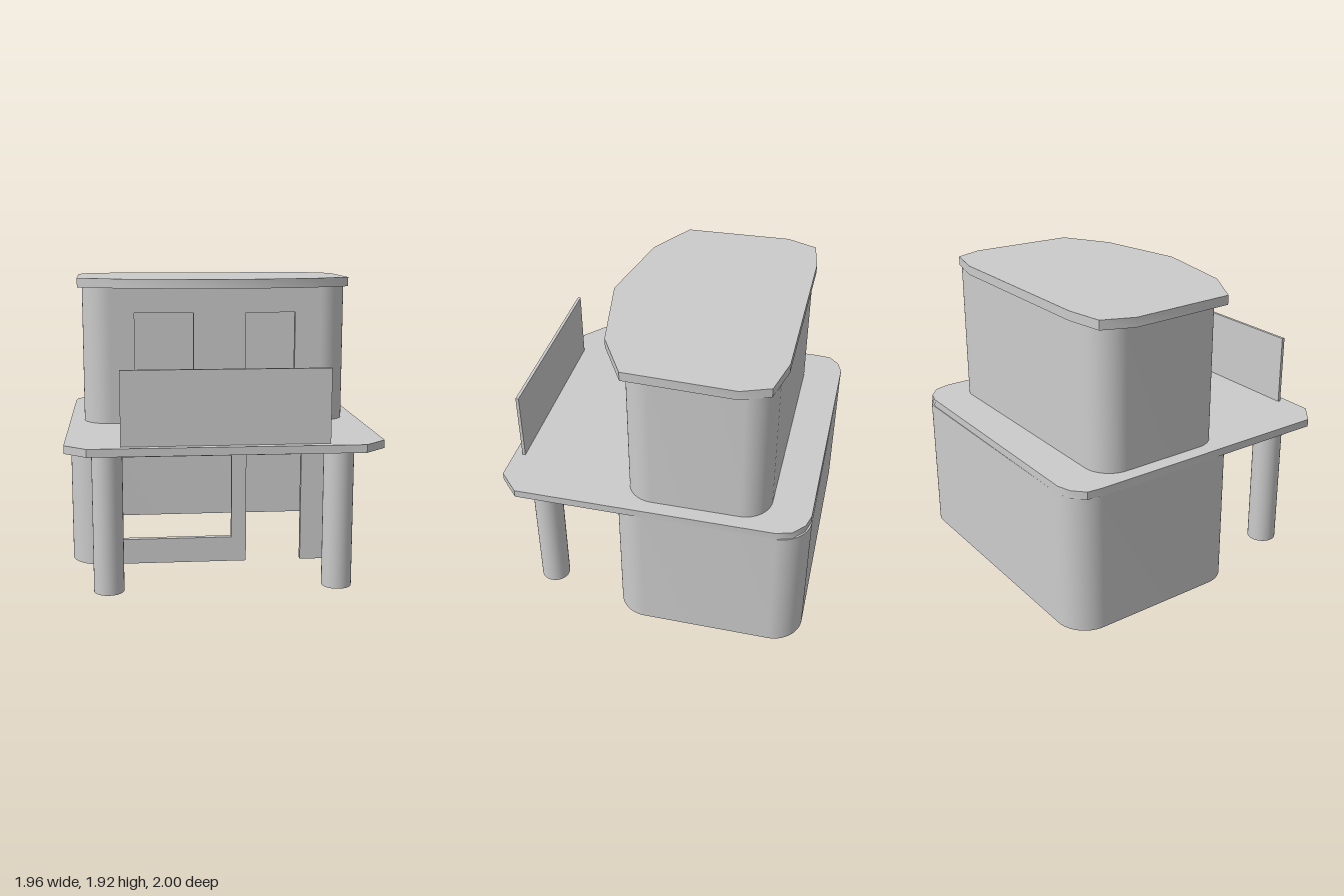
import * as THREE from 'three';
import { toCreasedNormals } from 'three/addons/utils/BufferGeometryUtils.js';

const material = new THREE.MeshStandardMaterial({ color: 0xcccccc, side: THREE.DoubleSide });
const WALL = 0.04;

function addMesh(parent, name, geometry, x = 0, y = 0, z = 0) {
  const mesh = new THREE.Mesh(geometry, material);
  mesh.name = name;
  mesh.position.set(x, y, z);
  parent.add(mesh);
  return mesh;
}

function extrude(shape, depth) {
  const geometry = new THREE.ExtrudeGeometry(shape, { depth, bevelEnabled: false, curveSegments: 10 });
  return toCreasedNormals(geometry, 0.6);
}

// Extrudes a floor plan upwards; plan coordinates are (x, -z)
function extrudePlan(shape, height) {
  return extrude(shape, height).rotateX(-Math.PI / 2);
}

function slab(points, height) {
  return extrudePlan(new THREE.Shape(points.map(([x, z]) => new THREE.Vector2(x, -z))), height);
}

function rectangle([x0, y0, x1, y1]) {
  return new THREE.Path([[x0, y0], [x0, y1], [x1, y1], [x1, y0]].map(p => new THREE.Vector2(...p)));
}

// Hollow storey with round corners: side and back shell plus a pierced front wall
function storey(name, { halfWidth, front, back, radius, base, height, windows, door }) {
  const group = new THREE.Group();
  group.name = name;
  const a = halfWidth - radius, f = -front + radius, b = -back - radius, q = Math.PI / 2;

  const plan = new THREE.Shape();
  const corners = [[a, f], [a, b], [-a, b], [-a, f]];
  plan.moveTo(a, -front);
  corners.forEach(([x, y], i) => plan.absarc(x, y, radius, (i - 1) * q, i * q, false));
  for (let i = 3; i >= 0; i--) {
    plan.absarc(...corners[i], radius - WALL, i * q, (i - 1) * q, true);
  }
  plan.closePath();
  addMesh(group, 'sideAndBackWalls', extrudePlan(plan, height), 0, base);

  const face = new THREE.Shape();
  face.moveTo(-a, 0);
  if (door) {
    const [x0, x1, top] = door;
    face.lineTo(x0, 0).lineTo(x0, top).lineTo(x1, top).lineTo(x1, 0);
  }
  face.lineTo(a, 0).lineTo(a, height).lineTo(-a, height).closePath();
  face.holes = windows.map(rectangle);
  addMesh(group, 'frontWall', extrude(face, WALL), 0, base, front - WALL);
  return group;
}

export function createModel() {
  const house = new THREE.Group();
  house.name = 'house';

  house.add(storey('groundFloor', {
    halfWidth: 0.98, front: 0.24, back: -1, radius: 0.2, base: 0, height: 0.91,
    windows: [[-0.67, 0.17, 0.1, 0.74]], door: [0.2, 0.575, 0.74],
  }));

  // Floor slab, reaching forward as a balcony
  addMesh(house, 'balconySlab', slab([
    [-0.98, -0.8], [-0.97, -0.9], [-0.9, -0.97], [-0.81, -1],
    [0.78, -0.995], [0.87, -0.97], [0.95, -0.9], [0.98, -0.8],
    [0.98, 0.87], [0.84, 1], [-0.84, 0.99], [-0.98, 0.87],
  ].reverse(), 0.05), 0, 0.91);

  // Posts under the balcony
  for (const [name, x] of [['leftPost', 0.72], ['rightPost', -0.725]]) {
    addMesh(house, name, new THREE.CylinderGeometry(0.095, 0.095, 0.91, 32, 1, true), x, 0.455, 0.755);
  }

  addMesh(house, 'balconyRailing', new THREE.BoxGeometry(1.27, 0.46, 0.02), -0.005, 1.19, 0.935);

  house.add(storey('upperFloor', {
    halfWidth: 0.885, front: 0.18, back: -0.74, radius: 0.18, base: 0.96, height: 0.905,
    windows: [[-0.54, 0.19, -0.15, 0.735], [0.2, 0.19, 0.53, 0.735]],
  }));

  // Flat roof with a pointed front overhang
  addMesh(house, 'roof', slab([
    [-0.61, -0.77], [0.58, -0.77], [0.84, -0.71], [0.91, -0.53], [0.885, 0.17], [0.57, 0.35],
    [-0.01, 0.46], [-0.6, 0.35], [-0.91, 0.17], [-0.93, -0.53], [-0.85, -0.73],
  ].reverse(), 0.06), 0, 1.865);

  return house;
}
